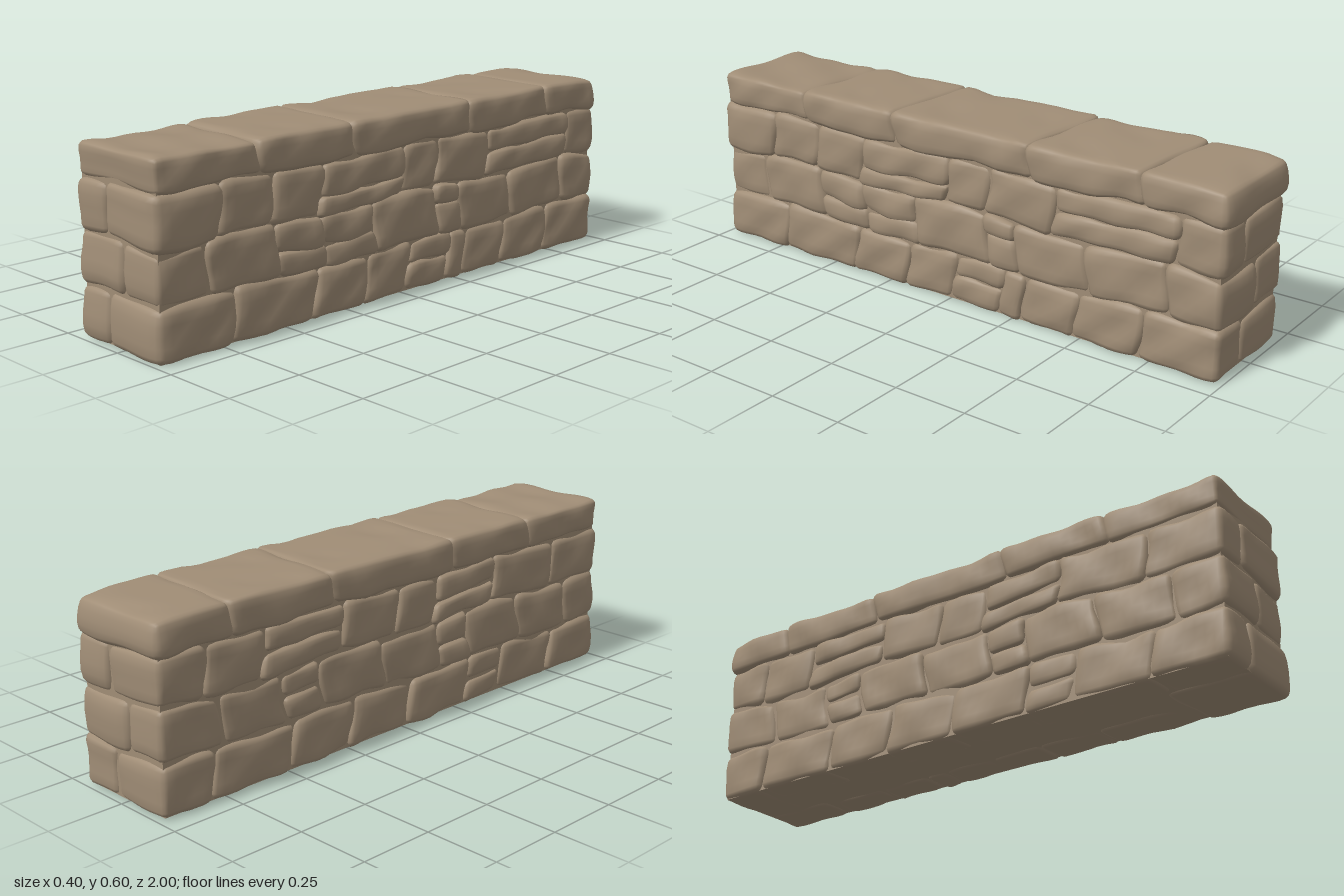
import * as THREE from 'three';
import { mergeVertices } from 'three/addons/utils/BufferGeometryUtils.js';

const stoneMat = new THREE.MeshStandardMaterial({ color: 0xa08d76 });
stoneMat.name = 'sandstone';

// Seeded random numbers
function seeded(seed) {
  let s = seed;
  return () => ((s = (s * 16807) % 2147483647) / 2147483647);
}

// A worn block: a box with rounded edges, a gently lumpy face and wandering joints
function stone(name, [x0, x1], [y0, y1], [z0, z1], seed) {
  const rnd = seeded(seed * 7919 + 13);
  for (let i = 0; i < 5; i++) rnd();
  const min = [x0, y0, z0], max = [x1, y1, z1];
  const size = max.map((m, i) => m - min[i]);
  const segs = size.map(s => Math.min(14, Math.max(6, Math.round(s / 0.028))));
  let geo = new THREE.BoxGeometry(...size, ...segs);
  geo.deleteAttribute('uv');
  geo.deleteAttribute('normal');
  geo = mergeVertices(geo);
  const radius = Math.min(0.028, Math.min(...size) * 0.33);
  const phase = Array.from({ length: 4 }, () => rnd() * 6.28);
  const tilt = (rnd() - 0.5) * 0.05, bulge = (rnd() - 0.5) * 0.008;
  const pos = geo.attributes.position;
  const p = new THREE.Vector3(), q = new THREE.Vector3(), n = new THREE.Vector3();
  const half = size.map(s => s / 2);
  for (let i = 0; i < pos.count; i++) {
    p.fromBufferAttribute(pos, i);
    // pull outer grid lines toward the edges so the rounding is well sampled
    const a = p.toArray().map((v, k) => {
      const t = Math.min(1, Math.abs(v) / half[k]);
      return half[k] * Math.sign(v) * (1 - Math.pow(1 - t, 1.3));
    });
    p.fromArray(a);
    q.fromArray(a.map((v, k) => THREE.MathUtils.clamp(v, radius - half[k], half[k] - radius)));
    n.copy(p).sub(q).normalize();
    p.copy(q).addScaledVector(n, radius);
    const lump = 0.0045 * (Math.sin(p.z * 24 + phase[0]) * Math.cos(p.y * 27 + phase[1])
      + Math.sin(p.x * 25 + p.z * 13 + phase[2]) * 0.7 + Math.sin(p.y * 45 + p.z * 38 + phase[3]) * 0.5);
    p.addScaledVector(n, lump + bulge);
    p.y += p.z * tilt;
    p.x += (x0 + x1) / 2;
    p.y += (y0 + y1) / 2;
    p.z += (z0 + z1) / 2;
    // shared wander keeps neighbouring joints together
    const mid = Math.sin(Math.PI * THREE.MathUtils.clamp(p.y / 0.6, 0, 1));
    const end = 1 - Math.pow(Math.min(1, Math.abs(p.z)), 6);
    p.y += mid * 0.008 * Math.sin(p.z * 9 + p.x * 12);
    p.z += end * 0.012 * Math.sin(p.y * 21 + p.x * 9);
    pos.setXYZ(i,
      THREE.MathUtils.clamp(p.x, -0.2, 0.2),
      THREE.MathUtils.clamp(p.y, 0, 0.6),
      THREE.MathUtils.clamp(p.z, -1, 1));
  }
  geo.computeVertexNormals();
  const mesh = new THREE.Mesh(geo, stoneMat);
  mesh.name = name;
  return mesh;
}

// Courses: height range, end split in x (front, back), joints along z per side.
// A joint given as [z, y] also splits the stone before it at height y.
const COURSES = [
  { name: 'bottomCourse', y: [0, 0.165], split: [-0.05, 0.04],
    left: [0.71, 0.39, 0.17, -0.02, [-0.21, 0.09], -0.29, -0.49, -0.72],
    right: [0.74, 0.47, [0.3, 0.08], 0.02, -0.24, -0.49, -0.8] },
  { name: 'secondCourse', y: [0.162, 0.33], split: [0.02, -0.03],
    left: [0.8, 0.54, [0.35, 0.235], [0.13, 0.235], -0.16, [-0.27, 0.27], -0.53, -0.81],
    right: [0.82, 0.56, 0.3, [0.16, 0.24], -0.1, -0.37, [-0.52, 0.25], -0.76] },
  { name: 'thirdCourse', y: [0.327, 0.49], split: [-0.05, 0.05],
    left: [0.76, 0.56, 0.36, [0.01, 0.385], -0.15, -0.4, [-0.83, 0.41]],
    right: [0.73, 0.42, [0.14, 0.4], -0.04, -0.28, [-0.6, 0.41], -0.82] },
];

export function createModel() {
  const wall = new THREE.Group();
  wall.name = 'stoneWall';
  let seed = 1;

  // Mortar core behind the stones
  const core = new THREE.Mesh(new THREE.BoxGeometry(0.35, 0.565, 1.95), stoneMat);
  core.name = 'core';
  core.position.y = 0.2875;
  wall.add(core);

  // Three courses of facing stones
  for (const c of COURSES) {
    const course = new THREE.Group();
    course.name = c.name;
    for (const side of [1, -1]) {
      const joints = [...(side > 0 ? c.left : c.right), -0.99];
      let z1 = 0.99;
      joints.forEach((j, i) => {
        const [z0, ySplit] = Array.isArray(j) ? j : [j, 0];
        const last = i === joints.length - 1;
        // corner stones meet each other at the split on the wall ends
        const inner = i === 0 ? c.split[0] : last ? c.split[1] : side * 0.06;
        const face = side * (0.187 + (seed % 4) * 0.002);
        const x = side > 0 ? [inner - 0.003, face] : [face, inner + 0.003];
        const z = [z0 - (last ? 0 : 0.004), z1 + (i === 0 ? 0 : 0.004)];
        const rows = ySplit ? [[c.y[0], ySplit + 0.003], [ySplit - 0.003, c.y[1]]] : [c.y];
        const label = i === 0 || last ? 'cornerStone' : ySplit ? 'smallStone' : 'faceStone';
        for (const y of rows) course.add(stone(label, x, y, z, seed++));
        z1 = z0;
      });
    }
    wall.add(course);
  }

  // Full-width capping stones
  const caps = new THREE.Group();
  caps.name = 'capping';
  const capJoints = [0.99, 0.6, 0.22, -0.315, -0.715, -0.99];
  for (let i = 0; i < 5; i++) {
    const z = [capJoints[i + 1] - (i < 4 ? 0.004 : 0), capJoints[i] + (i > 0 ? 0.004 : 0)];
    caps.add(stone('capStone', [-0.192, 0.192], [0.487, 0.598], z, seed++));
  }
  wall.add(caps);
  return wall;
}
